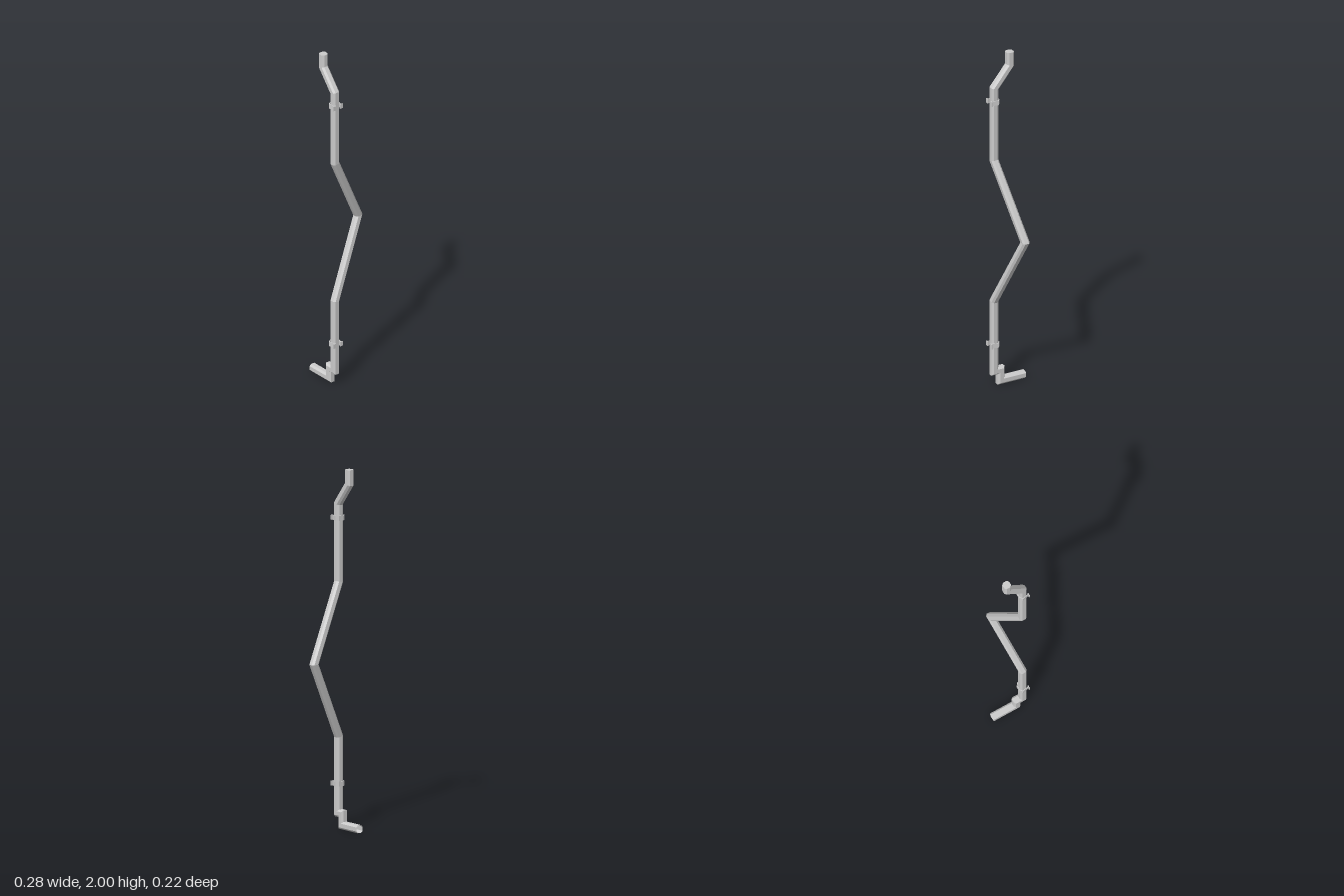
import * as THREE from 'three';

const material = new THREE.MeshStandardMaterial({ color: 0xcccccc, flatShading: true, side: THREE.DoubleSide });
const PIPE_X = -0.107, PIPE_Z = 0.08;

// Centre line from the gutter end down to the outlet
const PATH = [
  [PIPE_X, 2, -0.018], [PIPE_X, 1.92, -0.018], [PIPE_X, 1.8, PIPE_Z], [PIPE_X, 1.365, PIPE_Z],
  [0.113, 0.94, 0.01], [PIPE_X, 0.51, PIPE_Z], [PIPE_X, 0.085, PIPE_Z], [PIPE_X, 0.085, 0.041],
  [PIPE_X, 0.0215, 0.041], [PIPE_X, 0.0215, -0.11],
].map((p) => new THREE.Vector3(...p));

// Chamfered-square section, swept with a mitre at every bend
function mitredPipe(path, half, flat) {
  const section = [[half, flat], [flat, half], [-flat, half], [-half, flat],
    [-half, -flat], [-flat, -half], [flat, -half], [half, -flat]];
  const n = section.length;
  const dirs = path.slice(1).map((p, i) => p.clone().sub(path[i]).normalize());
  let ring = section.map(([x, z]) => new THREE.Vector3(path[0].x + x, path[0].y, path[0].z + z));
  const points = [...ring], index = [];

  for (let i = 1; i < path.length; i++) {
    const dir = dirs[i - 1];
    const normal = dir.clone().add(dirs[i] ?? dir).normalize();
    // Slide the previous ring along the run onto the mitre plane
    ring = ring.map((p) => {
      const t = path[i].clone().sub(p).dot(normal) / dir.dot(normal);
      return p.clone().addScaledVector(dir, t);
    });
    points.push(...ring);
    for (let j = 0; j < n; j++) {
      const a = (i - 1) * n + j, b = (i - 1) * n + (j + 1) % n;
      index.push(a, b, a + n, b, b + n, a + n);
    }
  }
  // Closed top end, open outlet
  for (let j = 1; j < n - 1; j++) index.push(0, j + 1, j);

  const geometry = new THREE.BufferGeometry().setFromPoints(points);
  geometry.setIndex(index);
  const flatGeometry = geometry.toNonIndexed();
  flatGeometry.computeVertexNormals();
  return flatGeometry;
}

// Strap around the back of the pipe with two feet for the wall
function bracketGeometry(height) {
  const outer = [[0.015, -0.026], [0.031, -0.013], [0.023, 0.025], [0.032, 0.025], [0.032, 0.03]];
  const inner = [[0.014, 0.03], [0.014, 0.025], [0.019, 0.025], [0.027, -0.011], [0.013, -0.022]];
  const side = [...outer, ...inner];
  const mirrored = side.map(([x, z]) => [-x, z]).reverse();
  const shape = new THREE.Shape([...side, ...mirrored].map(([x, z]) => new THREE.Vector2(x, -z)));
  const geometry = new THREE.ExtrudeGeometry(shape, { depth: height, bevelEnabled: false });
  return geometry.translate(0, 0, -height / 2).rotateX(-Math.PI / 2);
}

export function createModel() {
  const model = new THREE.Group();
  model.name = 'drainpipe';

  const pipe = new THREE.Mesh(mitredPipe(PATH, 0.0215, 0.0112), material);
  pipe.name = 'pipe';
  model.add(pipe);

  const strap = bracketGeometry(0.027);
  for (const [name, y] of [['upperBracket', 1.72], ['lowerBracket', 0.248]]) {
    const bracket = new THREE.Mesh(strap, material);
    bracket.name = name;
    bracket.position.set(PIPE_X, y, PIPE_Z);
    model.add(bracket);
  }
  return model;
}
